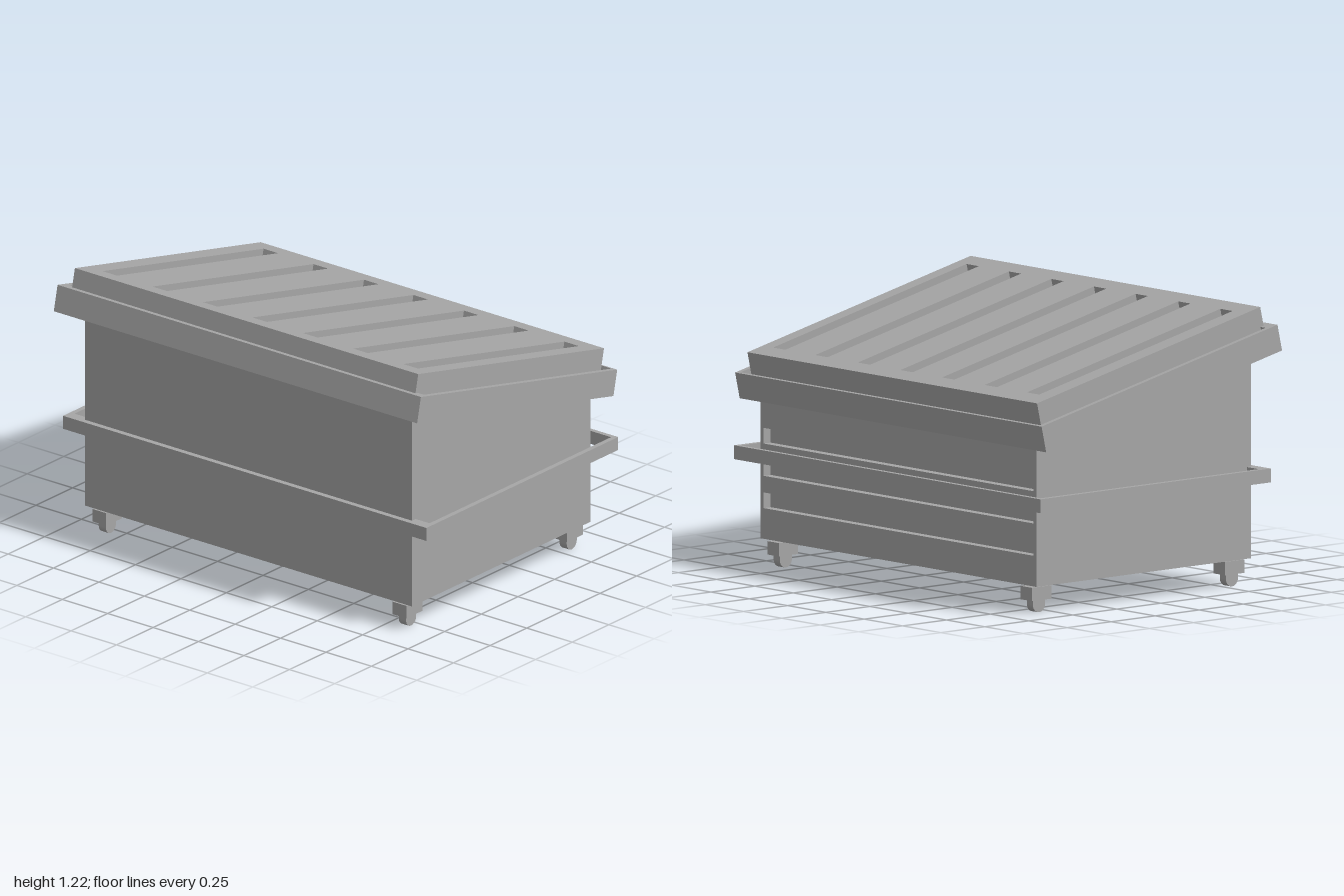
import * as THREE from 'three';

const grey = new THREE.MeshStandardMaterial({ color: 0xa6a6a6 });
grey.name = 'grey paint';

function add(parent, name, geometry, x = 0, y = 0, z = 0) {
  const mesh = new THREE.Mesh(geometry, grey);
  mesh.name = name;
  mesh.position.set(x, y, z);
  parent.add(mesh);
  return mesh;
}

// Closed rectangle as [x, z] points
const rect = (x0, z0, x1, z1) =>
  [[x0, z0], [x1, z0], [x1, z1], [x0, z1]].map(([x, z]) => new THREE.Vector2(x, z));

// Horizontal plate with rectangular holes, extruded down from y = 0
function plate(outer, holes, depth) {
  const shape = new THREE.Shape(rect(...outer));
  for (const hole of holes) shape.holes.push(new THREE.Path(rect(...hole)));
  return new THREE.ExtrudeGeometry(shape, { depth, bevelEnabled: false }).rotateX(Math.PI / 2);
}

// Side profile of [z, y] points, extruded across x and centred
function sideProfile(points, width) {
  const shape = new THREE.Shape(points.map(([z, y]) => new THREE.Vector2(z, y)));
  return new THREE.ExtrudeGeometry(shape, { depth: width, bevelEnabled: false })
    .translate(0, 0, -width / 2)
    .rotateY(-Math.PI / 2);
}

export function createModel() {
  const model = new THREE.Group();
  model.name = 'wheeledContainer';

  // Sloped bin with three long channels in the back wall
  const front = 0.6, back = -0.62, floor = 0.122;
  const notches = [0.535, 0.395, 0.255].flatMap((y) => [
    [back, y + 0.068], [back + 0.04, y + 0.068], [back + 0.04, y], [back, y],
  ]);
  const outline = [[back, floor], [front, floor], [front, 1.096], [back, 0.818]];
  add(model, 'binBody', sideProfile([...outline, ...notches], 1.76));
  for (const side of [-1, 1]) {
    add(model, 'binEndWall', sideProfile(outline, 0.02), side * 0.89);
  }

  // Hoop around the middle
  add(model, 'bumperRail',
    plate([-1, -0.684, 1, 0.625], [[-0.977, -0.663, 0.977, 0.575]], 0.06), 0, 0.52, 0);

  // Tilted top: open rim and grooved lid
  const top = new THREE.Group();
  top.name = 'tiltedTop';
  top.position.set(0, 0.93, 0.0055);
  top.rotation.x = -0.2238;
  model.add(top);

  add(top, 'lidRim',
    plate([-1, -0.687, 1, 0.687], [[-0.977, -0.675, 0.977, 0.637]], 0.117), 0, 0.0585, 0);

  const lidTop = 0.1435, groove = 0.04, lidDepth = 0.113;
  const grooves = [-0.82, -0.545, -0.267, 0.005, 0.283, 0.56, 0.836]
    .map((x) => [x - 0.04, -0.557, x + 0.04, 0.57]);
  add(top, 'groovedLid', plate([-0.945, -0.645, 0.945, 0.655], grooves, groove), 0, lidTop, 0);
  add(top, 'lidBase', new THREE.BoxGeometry(1.89, lidDepth - groove, 1.3),
    0, lidTop - (lidDepth + groove) / 2, 0.005);

  // Four casters
  for (const x of [-0.826, 0.826]) {
    for (const z of [0.538, -0.558]) {
      const caster = new THREE.Group();
      caster.name = 'caster';
      caster.position.set(x, 0, z);
      model.add(caster);
      add(caster, 'casterBlock', new THREE.BoxGeometry(0.075, 0.058, 0.109), 0, 0.084, 0);
      add(caster, 'casterFork', new THREE.BoxGeometry(0.04, 0.024, 0.069), 0, 0.0465, 0);
      add(caster, 'wheel',
        new THREE.CylinderGeometry(0.0345, 0.0345, 0.04, 24).rotateZ(Math.PI / 2), 0, 0.0345, 0);
    }
  }

  return model;
}
